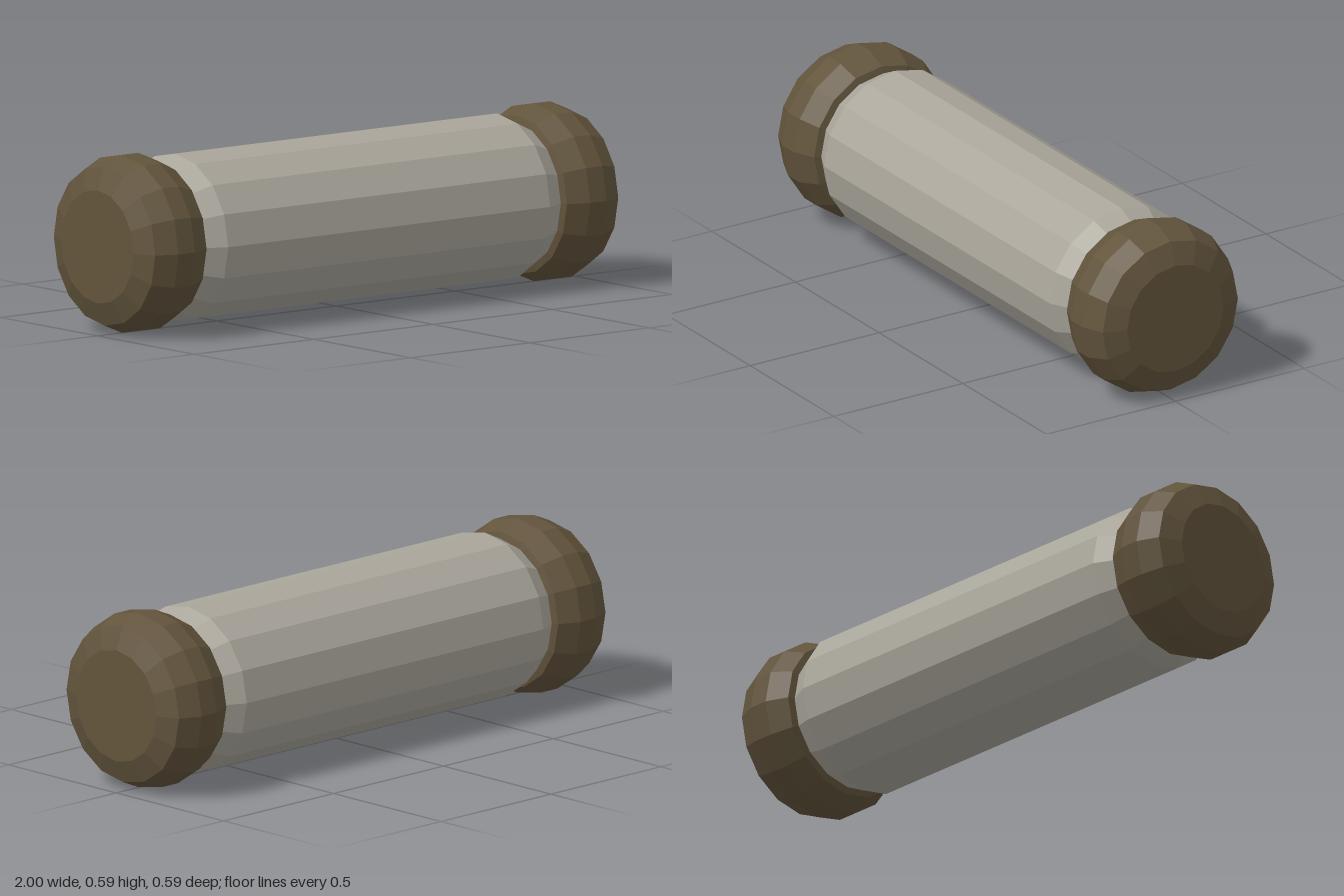
import * as THREE from 'three';

const SIDES = 16;
const AXIS_HEIGHT = 0.293;

// Solid of revolution from [radius, distance along axis] pairs
function turned(name, profile, material) {
  const points = profile.map(([r, d]) => new THREE.Vector2(r, d));
  const mesh = new THREE.Mesh(new THREE.LatheGeometry(points, SIDES), material);
  mesh.name = name;
  mesh.position.y = AXIS_HEIGHT;
  return mesh;
}

export function createModel() {
  const metal = new THREE.MeshStandardMaterial({ color: 0xaaa69b, flatShading: true });
  metal.name = 'pale grey metal';
  const brown = new THREE.MeshStandardMaterial({ color: 0x62543c, flatShading: true });
  brown.name = 'dark brown cap';

  const group = new THREE.Group();
  group.name = 'capped cylinder';

  // Long barrel with chamfered ends
  const barrel = turned('barrel', [
    [0, -0.76], [0.238, -0.75], [0.275, -0.675],
    [0.275, 0.675], [0.238, 0.75], [0, 0.76],
  ], metal);
  barrel.rotation.z = -Math.PI / 2;
  group.add(barrel);

  // Rounded end caps, one per side
  const capProfile = [
    [0, 0.747], [0.235, 0.747], [0.262, 0.755], [0.293, 0.828],
    [0.293, 0.897], [0.262, 0.97], [0.187, 1], [0, 1],
  ];
  for (const side of [-1, 1]) {
    const cap = turned(side > 0 ? 'leftCap' : 'rightCap', capProfile, brown);
    cap.rotation.z = -side * Math.PI / 2;
    group.add(cap);
  }
  return group;
}
